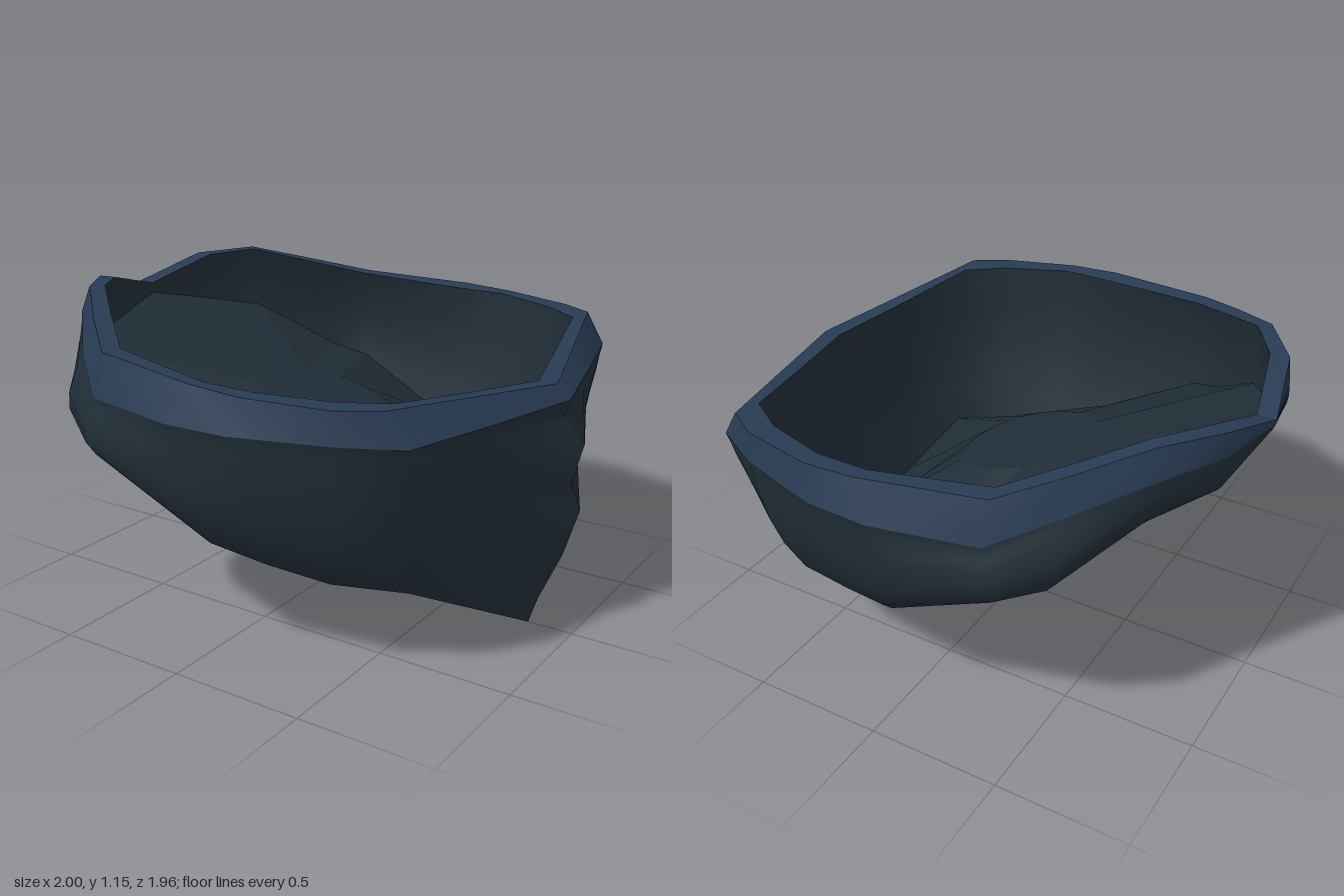
import * as THREE from 'three';
import { toCreasedNormals } from 'three/addons/utils/BufferGeometryUtils.js';

// Half outlines running from the back (-x) round the +z side to the pointed end (+x)
const rimInner = [
  [-0.93, 1.06, 0], [-0.86, 1.14, 0.29], [-0.75, 1.15, 0.46], [-0.57, 1.09, 0.62],
  [-0.38, 1.03, 0.78], [0.05, 1.0, 0.86], [0.25, 1.0, 0.86], [0.5, 0.99, 0.78],
  [0.65, 0.985, 0.68], [0.735, 0.95, 0.34], [0.82, 0.92, 0]];
const rimOuter = [
  [-1, 1.06, 0], [-0.93, 1.14, 0.3], [-0.79, 1.15, 0.5], [-0.6, 1.09, 0.68],
  [-0.4, 1.03, 0.85], [0.05, 1.01, 0.93], [0.25, 1.0, 0.93], [0.54, 0.99, 0.86],
  [0.67, 0.99, 0.78], [0.78, 0.955, 0.39], [0.89, 0.92, 0]];
const bandLower = [
  [-1, 1.045, 0], [-0.94, 1.05, 0.3], [-0.82, 1.05, 0.52], [-0.6, 0.965, 0.74],
  [-0.4, 0.88, 0.9], [-0.02, 0.88, 0.98], [0.22, 0.88, 0.97], [0.55, 0.88, 0.87],
  [0.75, 0.875, 0.76], [0.845, 0.87, 0.38], [0.94, 0.87, 0]];
const bottomEdge = [
  [-0.99, 1.02, 0], [-0.92, 0.92, 0.29], [-0.77, 0.87, 0.5], [-0.54, 0.69, 0.76],
  [-0.4, 0.64, 0.83], [0.02, 0.42, 0.82], [0.2, 0.36, 0.75], [0.42, 0.32, 0.69],
  [0.65, 0.3, 0.57], [0.74, 0.15, 0.285], [0.83, 0, 0]];
const floorEdge = bottomEdge.map(([x, y, z], i) =>
  [x * 0.97, y + (i < 3 ? 0.03 : 0.01), z * 0.98]);
floorEdge[0] = [-0.93, 1.02, 0];

// The underside lip cuts across below the floor near the pointed end
const lipEdge = floorEdge.map(p => [...p]);
lipEdge[8] = [0.48, 0.315, 0.53];
lipEdge[9] = [0.655, 0.16, 0.265];

// Tilted flat disc in the middle of the floor
const discX = -0.06, discY = 0.7, discR = 0.25, discSlope = -0.3;
const discEdge = floorEdge.map(([x, , z]) => {
  const a = Math.atan2(z, x - discX), dx = discR * Math.cos(a);
  return [discX + dx, discY + dx * discSlope, discR * Math.sin(a)];
});
const discCentre = discEdge.map(() => [discX, discY, 0]);

// Blend two outlines; bulge pushes the point away from the middle
function blend(a, b, t, bulge) {
  return a.map((p, i) => {
    const [x, y, z] = p.map((v, k) => v + (b[i][k] - v) * t);
    const d = bulge(i) / Math.hypot(x, z);
    return [x + x * d, y, z + z * d];
  });
}

// Outer wall: soft bulge round the sides, stepped ridge on the pointed end
const steps = [
  [0, 0, 0], [0.07, 0.005, -0.01], [0.17, 0.02, 0.08], [0.34, 0.035, 0.06],
  [0.45, 0.045, 0.11], [0.655, 0.05, 0.08], [0.88, 0.035, 0.02], [1, 0, 0]];
const sideWeight = [0, 0.3, 0.3, 1.6, 1.5, 1, 1, 1.2, 0.5];
const wallRows = steps.map(([t, side, ridge]) =>
  blend(bandLower, bottomEdge, t, i =>
    i > 8 ? ridge * (i === 9 ? 0.3 : 1) : side * sideWeight[i]));
const innerRows = [1, 0.75, 0.5, 0.25, 0].map(t =>
  blend(rimInner, floorEdge, t, i => (i < 3 ? 0.005 : 0.03) * Math.sin(Math.PI * t)));

const mirrored = half => half.map(([x, y, z]) => [x, y, -z]).reverse();
const fullRing = half => [...half, ...mirrored(half).slice(1, -1)];

// Skin neighbouring rows of points, closed round or left open at the ends
function skin(rows, crease, closed) {
  const n = rows[0].length, outline = rows[rows.length - 1], index = [];
  for (let r = 0; r < rows.length - 1; r++) {
    for (let j = 0; j < (closed ? n : n - 1); j++) {
      const k = (j + 1) % n;
      const a = r * n + j, b = r * n + k, c = a + n, d = b + n;
      // diagonals follow the mirror so both sides match
      if (outline[j][2] + outline[k][2] > 0) index.push(a, c, d, a, d, b);
      else index.push(a, c, b, b, c, d);
    }
  }
  const g = new THREE.BufferGeometry();
  g.setAttribute('position', new THREE.Float32BufferAttribute(rows.flat(2), 3));
  g.setIndex(index);
  return toCreasedNormals(g, crease);
}

export function createModel() {
  const group = new THREE.Group();
  const shell = new THREE.MeshStandardMaterial({ color: 0x202d36, side: THREE.DoubleSide });
  const trim = new THREE.MeshStandardMaterial({ color: 0x283b53, side: THREE.DoubleSide });
  const add = (name, geometry, material) => {
    const mesh = new THREE.Mesh(geometry, material);
    mesh.name = name;
    group.add(mesh);
  };
  const addRing = (name, rows, material, crease) =>
    add(name, skin(rows.map(fullRing), crease, true), material);

  addRing('floor', [discCentre, discEdge, floorEdge], shell, 0.2);
  addRing('innerWall', innerRows, shell, 1);
  addRing('rimTop', [rimInner, rimOuter], trim, 0.5);
  addRing('rimSide', [rimOuter, bandLower], trim, 1);
  addRing('bottomLip', [bottomEdge, lipEdge], shell, 0.4);
  // two halves meet in a sharp ridge at the pointed end
  add('outerWallLeft', skin(wallRows, 1, false), shell);
  add('outerWallRight', skin(wallRows.map(mirrored), 1, false), shell);
  return group;
}
